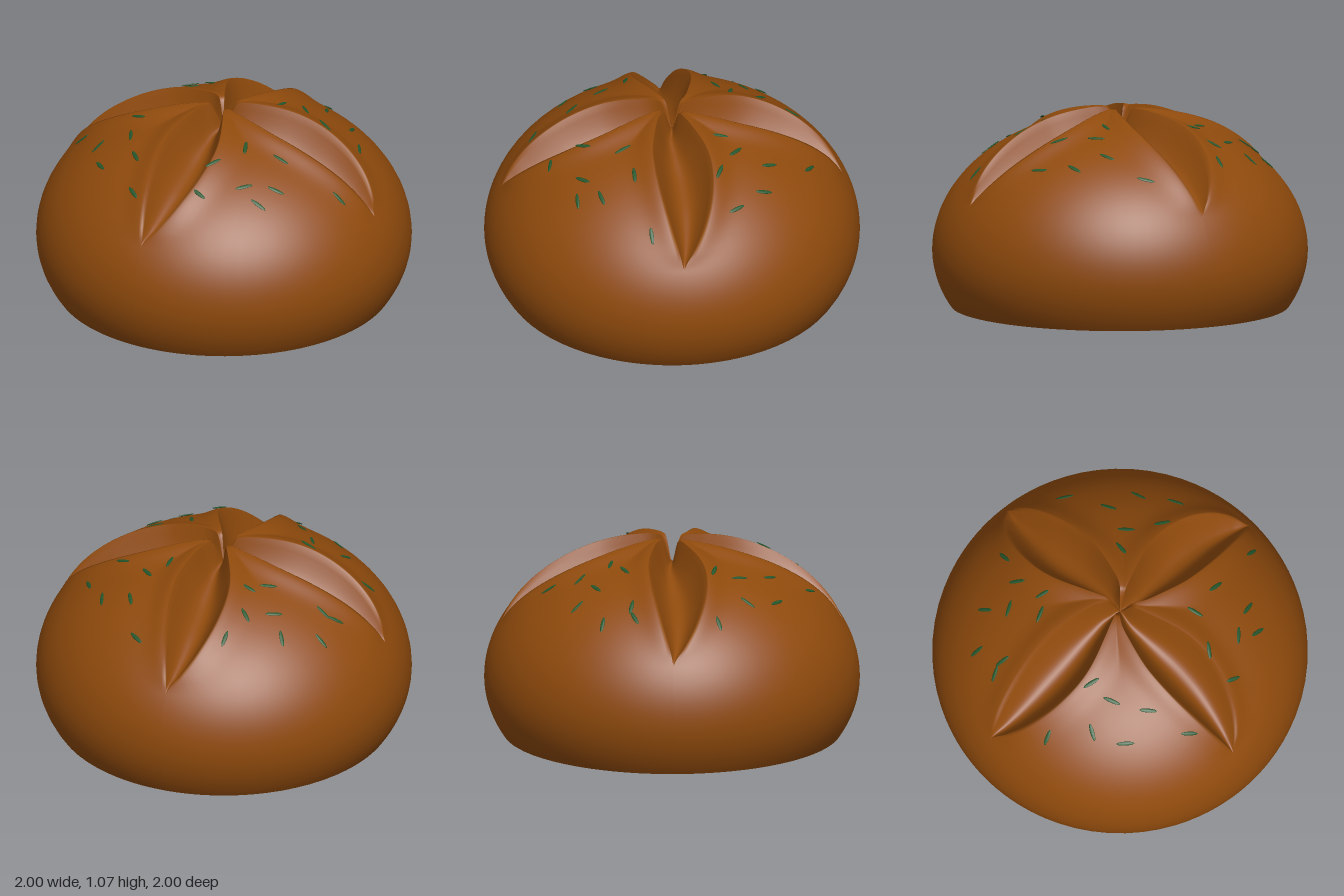
import * as THREE from 'three';

const BASE = 0.3, TOP = 0.74, LOW = 0.69, QUARTER = Math.PI / 2;

// Score shape by radius: half width, centre angle, depth, lip height
const score = new THREE.CubicInterpolant(
  [0, 0.1, 0.2, 0.4, 0.6, 0.78, 0.86, 0.91, 1.01],
  [
    0.000, 0.08, 0.11, 0.010,
    0.058, 0.12, 0.13, 0.030,
    0.095, 0.21, 0.15, 0.032,
    0.145, 0.28, 0.17, 0.032,
    0.138, 0.29, 0.15, 0.028,
    0.085, 0.27, 0.10, 0.020,
    0.040, 0.25, 0.05, 0.010,
    0.004, 0.23, 0.00, 0.000,
    0.004, 0.23, 0.00, 0.000,
  ], 4);

function scoreAt(a) {
  const r = a > Math.PI / 2 ? 1 : Math.sin(a);
  const [w, angle, depth, lip] = score.evaluate(r);
  const half = Math.min(Math.max(w, 0.004) / Math.max(r, 0.001), 0.66);
  return { r, half, angle, depth: Math.max(depth, 0), lip: Math.max(lip, 0) };
}

const domeNormal = (a, phi) => new THREE.Vector3(
  Math.sin(a) * Math.sin(phi), Math.cos(a) / (a < Math.PI / 2 ? TOP : LOW), Math.sin(a) * Math.cos(phi)
).normalize();

// Point on the loaf: a runs down from the crown, phi from the front to the left
function surface(a, phi) {
  const s = scoreAt(a), ring = Math.sin(a);
  let rel = (phi - s.angle) % QUARTER;
  if (rel > QUARTER / 2) rel -= QUARTER;
  if (rel < -QUARTER / 2) rel += QUARTER;
  const u = Math.abs(rel) / s.half;
  let d;
  if (u <= 1) {
    d = s.lip - (s.lip + s.depth) * (1 - Math.pow(u, 2.3));
  } else {
    const dist = (Math.abs(rel) - s.half) * s.r;
    d = s.lip * Math.exp(-Math.pow(dist / 0.09, 2));
  }
  // The four scores meet in a hollow at the crown
  d = THREE.MathUtils.lerp(-0.11, d, THREE.MathUtils.smoothstep(s.r, 0, 0.075));
  const y = BASE + Math.cos(a) * (a < Math.PI / 2 ? TOP : LOW);
  return new THREE.Vector3(ring * Math.sin(phi), y, ring * Math.cos(phi))
    .addScaledVector(domeNormal(a, phi), d);
}

// Open-bottomed shell whose grid lines follow the score edges
function loafGeometry() {
  const rings = 130, inner = 20, outer = 26, per = inner + outer, around = per * 4;
  const end = Math.PI / 2 + Math.asin(BASE / LOW);
  const pos = [], index = [];
  for (let i = 0; i <= rings; i++) {
    const a = end * i / rings;
    const { half, angle } = scoreAt(a);
    for (let j = 0; j < around; j++) {
      const k = Math.floor(j / per), m = j % per;
      let off;
      if (m <= inner) {
        off = half * (2 * m / inner - 1);
      } else {
        const v = (m - inner) / outer;
        const eased = v - 0.6 * Math.sin(2 * Math.PI * v) / (2 * Math.PI);
        off = half + (QUARTER - 2 * half) * eased;
      }
      pos.push(...surface(a, k * QUARTER + angle + off).toArray());
      if (i < rings) {
        const p = i * around + j, q = i * around + (j + 1) % around;
        index.push(p, p + around, q, q, p + around, q + around);
      }
    }
  }
  const g = new THREE.BufferGeometry();
  g.setAttribute('position', new THREE.Float32BufferAttribute(pos, 3));
  g.setIndex(index);
  g.computeVertexNormals();
  return g;
}

// Herb leaves: x, z and turn in degrees
const LEAVES = [
  [0.07, -0.75, 20], [-0.38, -0.58, 80], [0.23, -0.56, 50], [0.41, -0.56, 60],
  [-0.4, -0.41, 30], [-0.61, -0.38, 45], [-0.51, -0.3, -45], [-0.32, -0.26, 0],
  [-0.39, -0.17, -40], [0.24, -0.38, 30], [0.57, -0.44, 45], [0.42, -0.32, 10],
  [-0.75, -0.21, 0], [-0.67, -0.07, 0], [-0.73, -0.04, -40], [0.16, -0.28, 80],
  [0.8, -0.02, -20], [0.51, 0.12, -15], [0.34, 0.21, 55], [-0.33, 0.3, 0],
  [-0.65, 0.4, -35], [-0.28, 0.43, 50], [-0.44, 0.51, -80], [-0.13, 0.56, 30],
  [-0.31, 0.64, 25], [0.62, 0.28, -30], [0.5, 0.4, -60], [0.61, 0.41, -15],
  [0.3, 0.42, -70], [0.02, 0.74, 20], [0.35, 0.59, 0],
];

export function createModel() {
  const crust = new THREE.MeshStandardMaterial({ color: 0x8f4a0c, side: THREE.DoubleSide });
  crust.name = 'crust brown';
  const green = new THREE.MeshStandardMaterial({ color: 0x24562c });
  green.name = 'herb green';

  const model = new THREE.Group();
  model.name = 'breadLoaf';
  const loaf = new THREE.Mesh(loafGeometry(), crust);
  loaf.name = 'loaf';
  model.add(loaf);

  const herbs = new THREE.Group();
  herbs.name = 'herbs';
  // Slim leaf with pointed ends
  const leafShape = new THREE.SphereGeometry(1, 8, 8).rotateZ(Math.PI / 2).scale(0.048, 0.004, 0.011);
  for (const [x, z, turn] of LEAVES) {
    const a = Math.asin(Math.hypot(x, z)), phi = Math.atan2(x, z);
    const up = domeNormal(a, phi), t = THREE.MathUtils.degToRad(turn);
    const along = new THREE.Vector3(Math.cos(t), 0, Math.sin(t));
    along.y = -(along.x * up.x + along.z * up.z) / up.y;
    along.normalize();
    const side = new THREE.Vector3().crossVectors(along, up);
    const leaf = new THREE.Mesh(leafShape, green);
    leaf.name = 'herbLeaf';
    leaf.quaternion.setFromRotationMatrix(new THREE.Matrix4().makeBasis(along, up, side));
    leaf.position.copy(surface(a, phi)).addScaledVector(up, 0.004);
    herbs.add(leaf);
  }
  model.add(herbs);
  return model;
}
